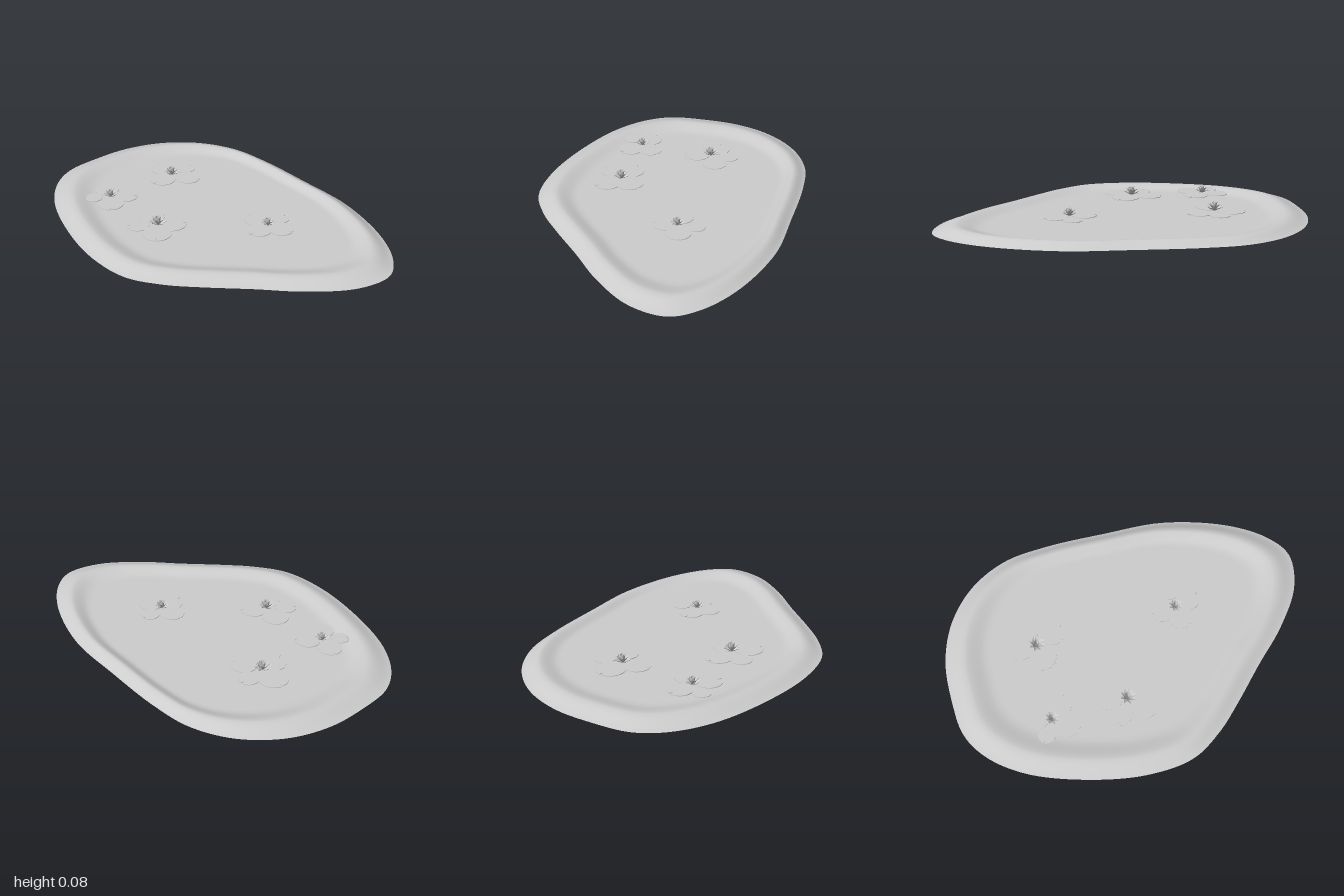
import * as THREE from 'three';

const grey = new THREE.MeshStandardMaterial({ color: 0xcccccc, side: THREE.DoubleSide });
grey.name = 'plain grey';

// Shore outline as x, z pairs
const OUTLINE = [
  [-1, 0.02], [-0.97, -0.17], [-0.9, -0.38], [-0.77, -0.56], [-0.58, -0.685], [-0.36, -0.73],
  [-0.13, -0.695], [0.19, -0.6], [0.51, -0.49], [0.81, -0.29], [0.96, -0.11], [1, 0.03],
  [0.92, 0.2], [0.73, 0.355], [0.51, 0.475], [0.3, 0.595], [0.14, 0.675], [-0.05, 0.725],
  [-0.29, 0.68], [-0.56, 0.55], [-0.82, 0.36], [-0.955, 0.18],
];
// Bank cross-section as scale of the outline, height
const BANK = [
  [1, 0], [0.985, 0.003], [0.965, 0.009], [0.94, 0.019], [0.915, 0.028], [0.89, 0.033],
  [0.87, 0.032], [0.845, 0.026], [0.82, 0.019], [0.795, 0.012], [0.77, 0.008], [0.74, 0.007], [0, 0.007],
];
// Lily groups: flower x, z, size, then pads as x, z, radius
const LILIES = [
  { at: [-0.44, -0.205], size: 1, pads: [[-0.52, -0.24, 0.075], [-0.42, -0.305, 0.053], [-0.342, -0.222, 0.066], [-0.45, -0.128, 0.07]] },
  { at: [0.3, -0.02], size: 0.87, pads: [[0.225, -0.035, 0.065], [0.315, -0.11, 0.049], [0.375, -0.022, 0.064], [0.287, 0.048, 0.063]] },
  { at: [-0.565, 0.185], size: 0.87, pads: [[-0.63, 0.14, 0.063], [-0.503, 0.14, 0.064], [-0.517, 0.25, 0.068], [-0.635, 0.247, 0.045]] },
  { at: [-0.175, 0.285], size: 1, pads: [[-0.258, 0.235, 0.07], [-0.12, 0.24, 0.073], [-0.128, 0.36, 0.075], [-0.255, 0.35, 0.056]] },
];
const WATER = 0.033;

// Smooth surface from rows of points
function grid(rows, cols, point) {
  const pos = [], index = [];
  for (let i = 0; i < rows; i++) for (let j = 0; j < cols; j++) pos.push(...point(i, j));
  for (let i = 0; i < rows - 1; i++) for (let j = 0; j < cols - 1; j++) {
    const a = i * cols + j, b = a + cols;
    index.push(a, b, a + 1, b, b + 1, a + 1);
  }
  const geo = new THREE.BufferGeometry();
  geo.setAttribute('position', new THREE.Float32BufferAttribute(pos, 3));
  geo.setIndex(index);
  geo.computeVertexNormals();
  return geo;
}

// Basin: the outline shrunk step by step along the bank profile
function basin() {
  const curve = new THREE.CatmullRomCurve3(OUTLINE.map(([x, z]) => new THREE.Vector3(x, 0, z)), true);
  const n = 160;
  const pts = curve.getPoints(n).reverse();
  return grid(BANK.length, n + 1, (i, j) => {
    const [s, y] = BANK[i];
    return [pts[j].x * s, y, pts[j].z * s - 0.11 * (1 - s)];
  });
}

// Thin round pad with a small notch at the angle given
function pad(r, angle) {
  const shape = new THREE.Shape();
  shape.absarc(0, 0, r, angle + 0.07, angle + Math.PI * 2 - 0.07, false);
  shape.lineTo(Math.cos(angle) * r * 0.7, Math.sin(angle) * r * 0.7);
  const geo = new THREE.ExtrudeGeometry(shape, { depth: 0.003, bevelEnabled: false, curveSegments: 32 });
  return geo.rotateX(-Math.PI / 2);
}

// Pointed, cupped petal that reaches out along +z
function petal(length, width) {
  return grid(6, 5, (i, j) => {
    const t = i / 5, u = j / 2 - 1;
    const w = width * Math.pow(Math.sin(Math.PI * (0.1 + 0.9 * t)), 0.8);
    return [u * w, u * u * w * 0.5 + t * t * length * 0.12, t * length];
  });
}

function flower(size) {
  const group = new THREE.Group();
  group.name = 'flower';
  // count, tilt, length of each petal ring
  [[8, 0.35, 0.049], [8, 0.75, 0.05], [6, 1.15, 0.05]].forEach(([count, tilt, length], ring) => {
    const geo = petal(length, 0.011).rotateX(-tilt);
    for (let k = 0; k < count; k++) {
      const mesh = new THREE.Mesh(geo, grey);
      mesh.name = 'petal';
      mesh.rotation.y = ((k + ring * 0.5) / count) * Math.PI * 2;
      group.add(mesh);
    }
  });
  group.scale.setScalar(size);
  return group;
}

export function createModel() {
  const model = new THREE.Group();
  model.name = 'lilyPond';
  const pond = new THREE.Mesh(basin(), grey);
  pond.name = 'pondBasin';
  model.add(pond);

  LILIES.forEach(({ at: [fx, fz], size, pads }, n) => {
    const lily = new THREE.Group();
    lily.name = 'waterLily';
    pads.forEach(([x, z, r]) => {
      const leaf = new THREE.Mesh(pad(r, Math.atan2(fz - z, x - fx)), grey);
      leaf.name = 'lilyPad';
      leaf.position.set(x, WATER, z);
      lily.add(leaf);
    });
    const bloom = flower(size);
    bloom.position.set(fx, WATER + 0.002, fz);
    bloom.rotation.y = n * 0.7;
    lily.add(bloom);
    model.add(lily);
  });
  return model;
}
